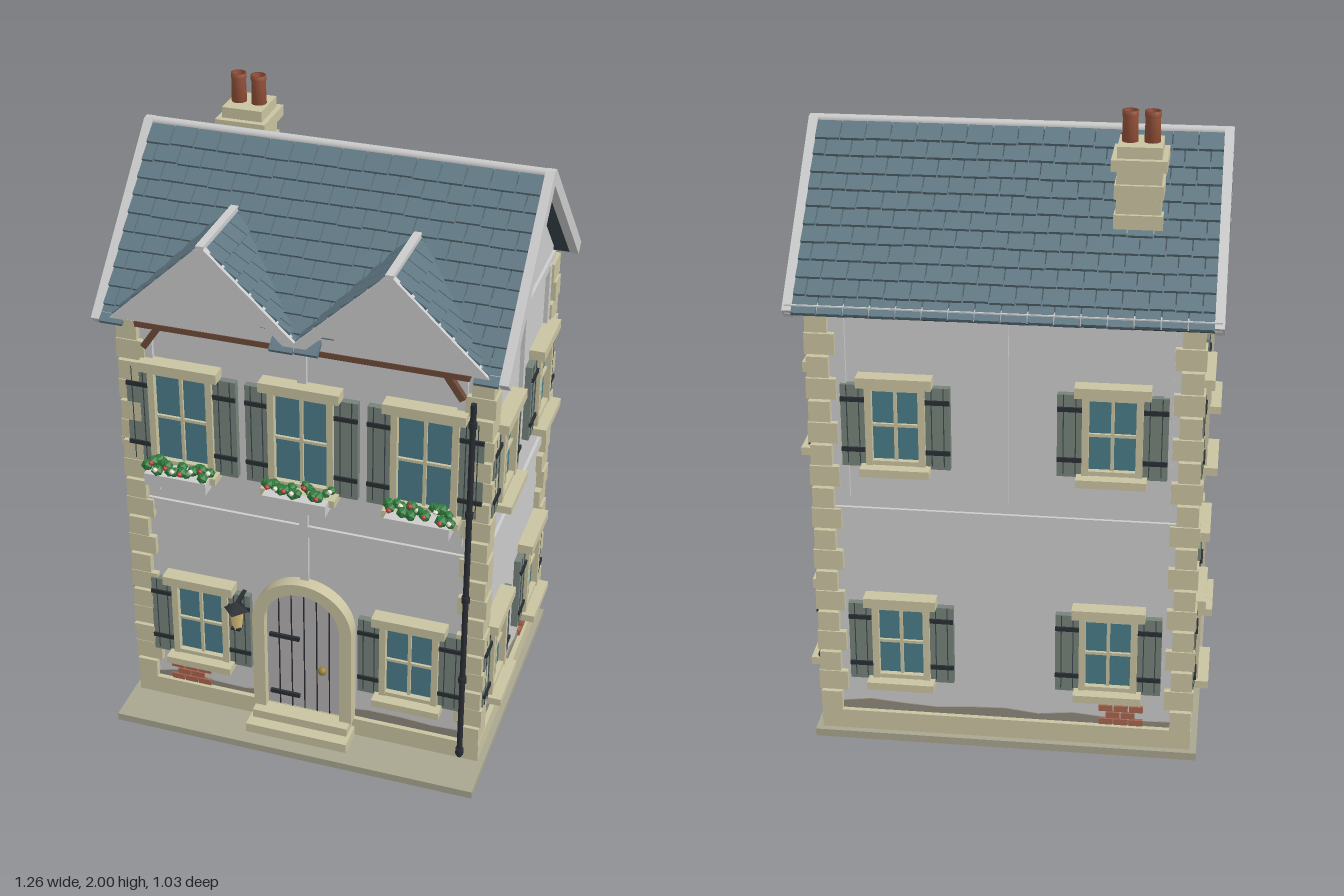
import * as THREE from 'three';
import { mergeGeometries } from 'three/addons/utils/BufferGeometryUtils.js';

const mat = (color) => new THREE.MeshStandardMaterial({ color });
const M = {
  wall: mat(0xcccccc), stone: mat(0xc9c3a0), base: mat(0xa9a690), slate: mat(0x5f7782), slateDark: mat(0x39474e),
  glass: mat(0x4a7c8a), shutter: mat(0x76837a), iron: mat(0x2a2e33), brick: mat(0xa8654e), pot: mat(0x96523a),
  stain: mat(0x8f897c), wood: mat(0x6e4a38), leaf: mat(0x2f7a3c), red: mat(0xb8433c), white: mat(0xe8e0d0),
  lamp: mat(0xe6c87e), door: mat(0xb4b1b3), brass: mat(0x9a8440),
};
let seed = 7;
const rnd = () => (seed = (seed * 16807) % 2147483647) / 2147483647;

function add(parent, name, geo, m, x = 0, y = 0, z = 0) {
  const mesh = new THREE.Mesh(geo, m);
  mesh.name = name;
  mesh.position.set(x, y, z);
  parent.add(mesh);
  return mesh;
}
const box = (p, name, m, w, h, d, x, y, z) => add(p, name, new THREE.BoxGeometry(w, h, d), m, x, y, z);
// box given by its lower and upper height
const slab = (p, name, m, w, y0, y1, d, x, z) => box(p, name, m, w, y1 - y0, d, x, (y0 + y1) / 2, z);
function group(parent, name, x = 0, y = 0, z = 0, ry = 0) {
  const g = new THREE.Group();
  g.name = name;
  g.position.set(x, y, z);
  g.rotation.y = ry;
  parent.add(g);
  return g;
}
const extrude = (shape, depth) => new THREE.ExtrudeGeometry(shape, { depth, bevelEnabled: false, curveSegments: 20 });
const poly = (pts) => new THREE.Shape(pts.map(([x, y]) => new THREE.Vector2(x, y)));

const HX = 0.56, HZ = 0.39, CZ = -0.05;              // wall half sizes and ridge position
const SLOPE = Math.atan2(0.44, 0.45), SLEN = 0.63;   // main roof
const DSLOPE = Math.atan2(0.265, 0.28), DLEN = 0.385; // dormer roofs
const mainY = (z) => 1.9 - Math.abs(z - CZ) * 0.978;
const dormerY = (x) => 1.725 - Math.abs(Math.abs(x) - 0.28) * 0.946;

// Overlapping staggered slates; local z runs down the slope, u across it
function slates(parent, u0, u1, len, rows, tw, keep) {
  const parts = [], step = len / rows;
  for (let r = 0; r < rows; r++) {
    const s = (r + 0.5) * step;
    for (let u = u0 - (r % 2) * tw * 0.5; u < u1 - 0.005; u += tw) {
      const a = Math.max(u, u0), b = Math.min(u + tw, u1), c = (a + b) / 2;
      const jitter = rnd() * 0.008;
      if (b - a < 0.01 || !keep(c, s)) continue;
      const g = new THREE.BoxGeometry(b - a - 0.004, 0.013, step * 1.4);
      g.rotateX(-0.17 - jitter);
      parts.push(g.translate(c, 0.014, s + jitter * 0.5));
    }
  }
  add(parent, 'slates', mergeGeometries(parts), M.slate);
}

// Window with frame, bars, lintel, sill and a pair of shutters
function windowUnit(wall, u, y0, y1, w) {
  const g = group(wall, 'window', u), h = y1 - y0, yc = (y0 + y1) / 2;
  box(g, 'glass', M.glass, w - 0.02, h, 0.012, 0, yc, 0.008);
  for (const s of [-1, 1]) {
    box(g, 'frameSide', M.stone, 0.02, h, 0.04, s * (w / 2 - 0.01), yc, 0.015);
    box(g, 'frameRail', M.stone, w - 0.02, 0.014, 0.034, 0, yc + s * (h / 2 - 0.007), 0.015);
    const sx = s * (w / 2 + 0.037);
    box(g, 'shutter', M.shutter, 0.073, h + 0.01, 0.022, sx, yc - 0.005, 0.013);
    for (const t of [-0.32, 0.32]) box(g, 'shutterStrap', M.iron, 0.073, 0.014, 0.008, sx, yc + t * h, 0.026);
    for (const t of [-0.018, 0.018]) box(g, 'shutterGroove', M.slateDark, 0.003, h, 0.003, sx + t, yc, 0.024);
  }
  box(g, 'mullion', M.stone, 0.01, h, 0.022, 0, yc, 0.012);
  box(g, 'glazingBar', M.stone, w - 0.03, 0.009, 0.022, 0, yc, 0.012);
  slab(g, 'lintel', M.stone, w + 0.045, y1, y1 + 0.032, 0.06, 0, 0.02);
  slab(g, 'sill', M.stone, w + 0.03, y0 - 0.025, y0, 0.075, 0, 0.03);
}

function flowerBox(wall, u) {
  const g = group(wall, 'flowerBox', u, 0.915, 0.065);
  box(g, 'trough', M.wall, 0.2, 0.04, 0.075, 0, 0.02, 0);
  for (let i = 0; i < 16; i++) {
    const x = -0.1 + (i * 0.2) / 15, z = (rnd() - 0.5) * 0.06;
    add(g, 'leaves', new THREE.IcosahedronGeometry(0.015 + rnd() * 0.006, 0), M.leaf, x, 0.05 + rnd() * 0.015, z);
    if (i % 2) add(g, 'blossom', new THREE.IcosahedronGeometry(0.009, 0), i % 4 === 1 ? M.red : M.white, x, 0.064, z + 0.018);
  }
}

// Timber strips, damp stain and exposed bricks shared by every wall
function wallTrim(wall, half, posts, brickU) {
  slab(wall, 'floorBand', M.wall, half * 2 - 0.02, 0.763, 0.803, 0.016, 0, 0.002);
  slab(wall, 'topBand', M.wall, half * 2 - 0.02, 1.43, 1.46, 0.016, 0, 0.002);
  for (const [u, y] of posts) slab(wall, 'post', M.wall, 0.028, y, 1.445, 0.022, u, 0.002);
  const pts = [[half - 0.03, 0.085], [-half + 0.03, 0.085]];
  for (let i = 0; i <= 10; i++) pts.push([(-half + 0.03) * (1 - i / 5), 0.1 + rnd() * 0.03]);
  add(wall, 'dampStain', extrude(poly(pts.reverse()), 0.004), M.stain);
  for (let r = 0; r < 4; r++) for (let i = 0; i < 3 - (r === 3 ? 2 : r % 2); i++)
    box(wall, 'brick', M.brick, 0.043, 0.02, 0.014, brickU - 0.045 + i * 0.047 + (r % 2) * 0.022, 0.102 + r * 0.024, 0.004);
}

function arch(r, Type) {
  const p = new Type();
  p.moveTo(-r, 0.085);
  p.lineTo(r, 0.085);
  p.lineTo(r, 0.435);
  p.absarc(0, 0.435, r, 0, Math.PI, false);
  p.closePath();
  return p;
}

function entrance(wall) {
  const g = group(wall, 'entrance');
  const surround = arch(0.165, THREE.Shape);
  surround.holes.push(arch(0.125, THREE.Path));
  add(g, 'doorSurround', extrude(surround, 0.045), M.stone);
  add(g, 'door', extrude(arch(0.126, THREE.Shape), 0.018), M.door);
  for (let i = -2; i <= 2; i++)
    slab(g, 'plankGroove', M.iron, 0.004, 0.09, 0.435 + Math.sqrt(0.0156 - (i * 0.042) ** 2), 0.004, i * 0.042, 0.018);
  for (const y of [0.14, 0.37]) box(g, 'doorHinge', M.iron, 0.1, 0.014, 0.01, -0.065, y, 0.022);
  add(g, 'doorKnob', new THREE.SphereGeometry(0.015, 12, 8), M.brass, 0.065, 0.27, 0.032);
  slab(g, 'lowerStep', M.stone, 0.34, 0.025, 0.058, 0.11, 0, 0.06);
  slab(g, 'upperStep', M.stone, 0.32, 0.058, 0.088, 0.075, 0, 0.038);
  // lantern beside the door
  const l = group(g, 'lantern', -0.205, 0, 0.075);
  box(l, 'lanternArm', M.iron, 0.012, 0.012, 0.08, 0, 0.5, -0.035);
  add(l, 'lanternGlass', new THREE.CylinderGeometry(0.024, 0.017, 0.07, 4), M.lamp, 0, 0.448, 0);
  add(l, 'lanternCap', new THREE.ConeGeometry(0.042, 0.03, 4), M.iron, 0, 0.497, 0);
  box(l, 'lanternFoot', M.iron, 0.03, 0.008, 0.03, 0, 0.413, 0);
}

export function createModel() {
  const house = new THREE.Group();
  house.name = 'house';

  // base and body
  slab(house, 'basePlate', M.base, 1.2, 0, 0.025, 0.985, 0, 0.0125);
  slab(house, 'plinth', M.stone, HX * 2 + 0.04, 0.025, 0.09, HZ * 2 + 0.04, 0, CZ);
  const body = add(house, 'walls', extrude(poly([[-HZ, 0.025], [HZ, 0.025], [HZ, 1.47], [0, 1.86], [-HZ, 1.47]]), HX * 2), M.wall, HX, 0, CZ);
  body.rotation.y = -Math.PI / 2;

  // corner stones
  for (const sx of [-1, 1]) for (const sz of [-1, 1]) for (let i = 0; i < 19; i++) {
    const long = i % 2, h = 1.35 / 19;
    box(house, 'cornerStone', M.stone, long ? 0.09 : 0.065, h - 0.006, long ? 0.065 : 0.09,
      sx * (HX - (long ? 0.02 : 0.013)), 0.09 + (i + 0.5) * h, CZ + sz * (HZ - (long ? 0.013 : 0.02)));
  }

  // front wall
  const front = group(house, 'frontWall', 0, 0, CZ + HZ);
  wallTrim(front, HX, [[0, 0.6], [-0.485, 0.84], [0.485, 0.84]], -0.4);
  for (const u of [-0.381, 0, 0.381]) {
    windowUnit(front, u, 0.955, 1.28, 0.205);
    flowerBox(front, u);
  }
  for (const u of [-0.348, 0.348]) windowUnit(front, u, 0.225, 0.5, 0.19);
  entrance(front);
  slab(front, 'soffit', M.wood, 1.02, 1.43, 1.448, 0.05, 0, 0.02);
  for (const s of [-1, 1]) box(front, 'brace', M.wood, 0.02, 0.09, 0.02, s * 0.465, 1.395, 0.025).rotation.z = -s * -0.6;

  // back and side walls
  const others = [['backWall', 0, CZ - HZ, Math.PI, HX, 0.32, 0.36], ['leftWall', HX, CZ, Math.PI / 2, HZ, 0.225, 0.24], ['rightWall', -HX, CZ, -Math.PI / 2, HZ, 0.225, -0.24]];
  for (const [name, x, z, ry, half, u, brickU] of others) {
    const wall = group(house, name, x, 0, z, ry);
    wallTrim(wall, half, [[0, 0.84], [-half + 0.08, 0.84], [half - 0.08, 0.84]], brickU);
    for (const s of [-1, 1]) for (const [y0, y1] of [[0.225, 0.48], [0.96, 1.212]]) windowUnit(wall, s * u, y0, y1, 0.178);
  }

  // main roof
  for (const side of [1, -1]) {
    const turn = group(house, side > 0 ? 'frontRoof' : 'backRoof', 0, 1.885, CZ, side > 0 ? 0 : Math.PI);
    const slope = group(turn, 'roofSlope');
    slope.rotation.x = SLOPE;
    const len = side > 0 ? 0.55 : SLEN;
    box(slope, 'roofDeck', M.slateDark, 1.21, 0.02, len, 0, -0.008, len / 2);
    slates(slope, -0.605, 0.605, SLEN, 11, 0.0756, (u, s) => {
      const z = CZ + s * Math.cos(SLOPE);
      return side < 0 || mainY(z) > dormerY(u) - 0.025;
    });
    for (const s of [-1, 1]) box(slope, 'bargeboard', M.wall, 0.028, 0.042, SLEN + 0.01, s * 0.617, 0.002, SLEN / 2);
  }
  add(house, 'ridgeCap', new THREE.CylinderGeometry(0.015, 0.015, 1.26, 10), M.wall, 0, 1.893, CZ).rotation.z = Math.PI / 2;
  box(house, 'backGutter', M.wall, 1.25, 0.028, 0.026, 0, 1.458, -0.497);
  for (const [x, w] of [[-0.585, 0.09], [0, 0.06], [0.585, 0.09]]) box(house, 'frontGutter', M.wall, w, 0.028, 0.03, x, 1.46, 0.388);

  // two front gables
  for (const cx of [-0.28, 0.28]) {
    const d = group(house, 'frontGable', cx);
    add(d, 'gableBody', extrude(poly([[-0.28, 1.45], [0.28, 1.45], [0, 1.715]]), 0.37), [M.wall, M.slateDark], 0, 0, 0.015);
    for (const s of [-1, 1]) {
      const turn = group(d, 'gableRoof', 0, 1.718, 0, s * Math.PI / 2);
      const slope = group(turn, 'gableSlope');
      slope.rotation.x = DSLOPE;
      // local u maps to -s * z
      slates(slope, s > 0 ? -0.405 : 0.08, s > 0 ? -0.08 : 0.405, DLEN, 7, 0.065,
        (u, t) => 1.725 - t * Math.sin(DSLOPE) > mainY(-s * u) - 0.05);
      box(slope, 'gableBargeboard', M.wall, 0.022, 0.034, DLEN + 0.01, -s * 0.404, 0.002, DLEN / 2);
    }
    box(d, 'gableRidge', M.wall, 0.024, 0.02, 0.325, 0, 1.733, 0.252);
  }

  // chimney
  const ch = group(house, 'chimney', -0.37, 0, -0.24);
  for (let i = 0; i < 6; i++) {
    const w = i % 2 ? 0.13 : 0.142;
    slab(ch, 'chimneyCourse', M.stone, w, 1.58 + i * 0.044, 1.622 + i * 0.044, w, 0, 0);
  }
  slab(ch, 'chimneyCap', M.stone, 0.16, 1.842, 1.876, 0.17, 0, 0);
  slab(ch, 'chimneyTop', M.stone, 0.128, 1.876, 1.91, 0.132, 0, 0);
  for (const x of [-0.032, 0.032]) {
    const r = 0.024;
    const profile = [[0, 0], [r, 0], [r * 0.92, 0.075], [r, 0.08], [r, 0.095], [r * 0.75, 0.095], [r * 0.7, 0.04], [0, 0.04]];
    add(ch, 'chimneyPot', new THREE.LatheGeometry(profile.map(([a, b]) => new THREE.Vector2(a, b)), 14), M.pot, x, 1.905, 0);
  }

  // drainpipe
  const pipe = group(house, 'drainpipe', 0.522, 0, 0.368);
  add(pipe, 'pipe', new THREE.CylinderGeometry(0.009, 0.009, 1.31, 10), M.iron, 0, 0.695, 0);
  for (const y of [0.06, 0.35, 0.66, 0.97, 1.28]) add(pipe, 'pipeCollar', new THREE.CylinderGeometry(0.013, 0.013, 0.022, 10), M.iron, 0, y, 0);
  return house;
}
